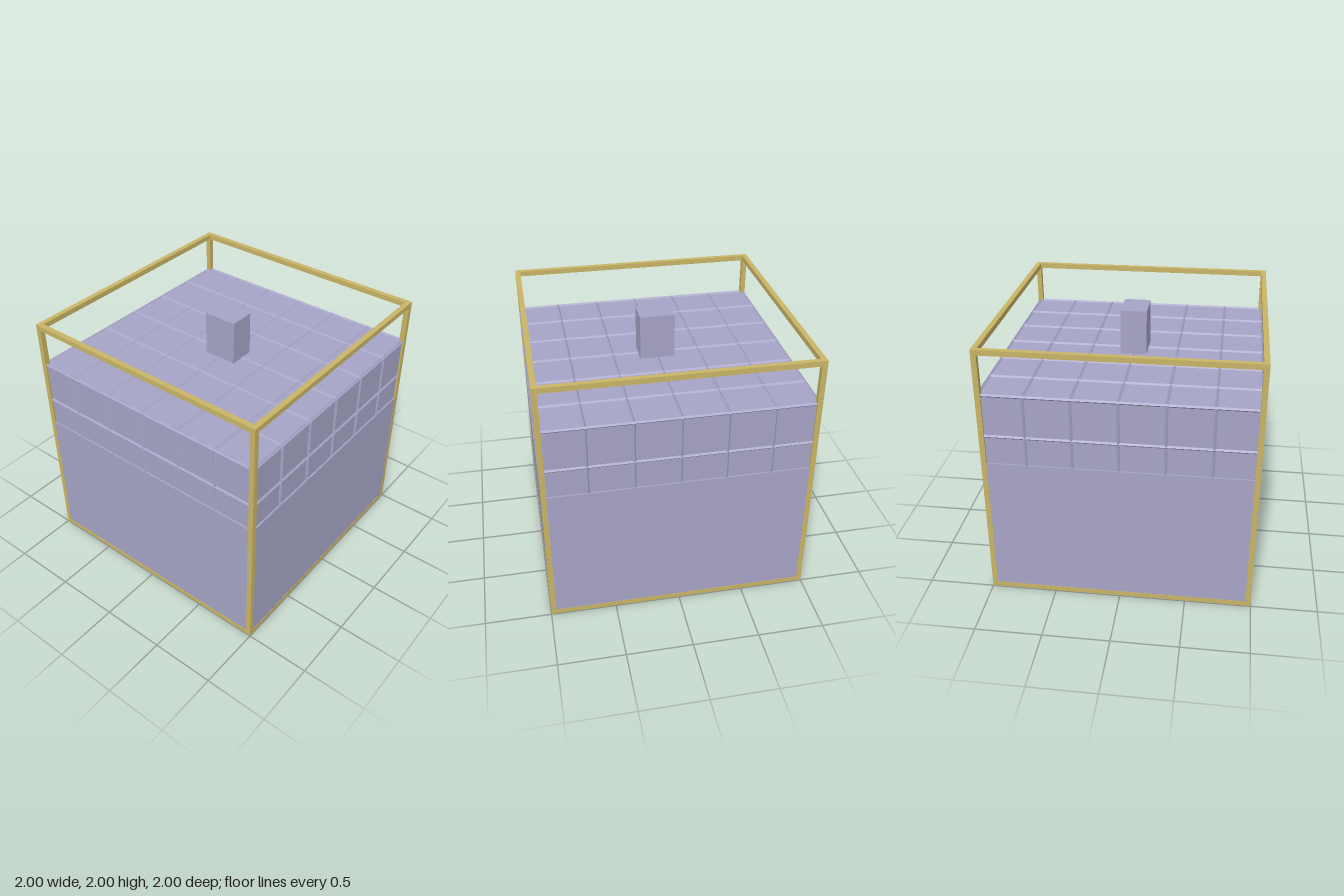
import * as THREE from 'three';

export function createModel() {
  const model = new THREE.Group();
  model.name = 'framedTank';
  const lilac = new THREE.MeshStandardMaterial({ color: 0xa6a4c6 });
  lilac.name = 'lilac';
  const gold = new THREE.MeshStandardMaterial({ color: 0xc9b566 });
  gold.name = 'gold';

  const box = (name, parent, mat, size, pos) => {
    const mesh = new THREE.Mesh(new THREE.BoxGeometry(...size), mat);
    mesh.name = name;
    mesh.position.set(...pos);
    parent.add(mesh);
    return mesh;
  };

  // Open frame: twelve square bars along the edges of a cube
  const frame = new THREE.Group();
  frame.name = 'frame';
  model.add(frame);
  const bar = 0.04, edge = 1 - bar / 2, span = 2 - 2 * bar;
  for (const a of [-edge, edge]) {
    for (const b of [-edge, edge]) {
      box('post', frame, gold, [bar, 1.998, bar], [a, 1.001, b]);
    }
    // Bottom rails sit just above the underside of the body
    for (const y of [0.002 + bar / 2, 2 - bar / 2]) {
      box('railAcross', frame, gold, [span, bar, bar], [0, y, a]);
      box('railDeep', frame, gold, [bar, bar, span], [a, y, 0]);
    }
  }

  // Plain lower body, slightly inset upper body, and block on top
  const half = 0.985, top = 1.655, ledge = 1.115;
  box('lowerBody', model, lilac, [1.996, ledge, 1.996], [0, ledge / 2, 0]);
  box('upperBody', model, lilac, [half * 2, top - ledge, half * 2], [0, (top + ledge) / 2, 0]);
  box('topBlock', model, lilac, [0.265, 2 - top, 0.2], [0, (2 + top) / 2, 0]);

  // Raised diamond-section ribs that divide the upper body into tiles
  const ribs = new THREE.Group();
  ribs.name = 'tileRibs';
  model.add(ribs);
  const ribGeometry = (length) => {
    const g = new THREE.CylinderGeometry(0.012, 0.012, length, 4).toNonIndexed();
    g.computeVertexNormals();
    return g;
  };
  const longRib = ribGeometry(half * 2);
  const shortRib = ribGeometry(top - ledge);
  const rib = (name, geometry, pos, axis) => {
    const mesh = new THREE.Mesh(geometry, lilac);
    mesh.name = name;
    mesh.position.set(...pos);
    if (axis === 'x') mesh.rotation.z = Math.PI / 2;
    if (axis === 'z') mesh.rotation.x = Math.PI / 2;
    ribs.add(mesh);
  };

  for (let i = -2; i <= 2; i++) {
    const p = i / 3;
    rib('topRibAcross', longRib, [0, top, p], 'x');
    rib('topRibDeep', longRib, [p, top, 0], 'z');
    for (const s of [-half, half]) {
      rib('sideRibUpright', shortRib, [p, (top + ledge) / 2, s], 'y');
      rib('sideRibUpright', shortRib, [s, (top + ledge) / 2, p], 'y');
    }
  }
  for (const s of [-half, half]) {
    for (const y of [4 / 3, top]) {
      rib('sideRibAcross', longRib, [0, y, s], 'x');
      rib('sideRibDeep', longRib, [s, y, 0], 'z');
    }
  }

  return model;
}
